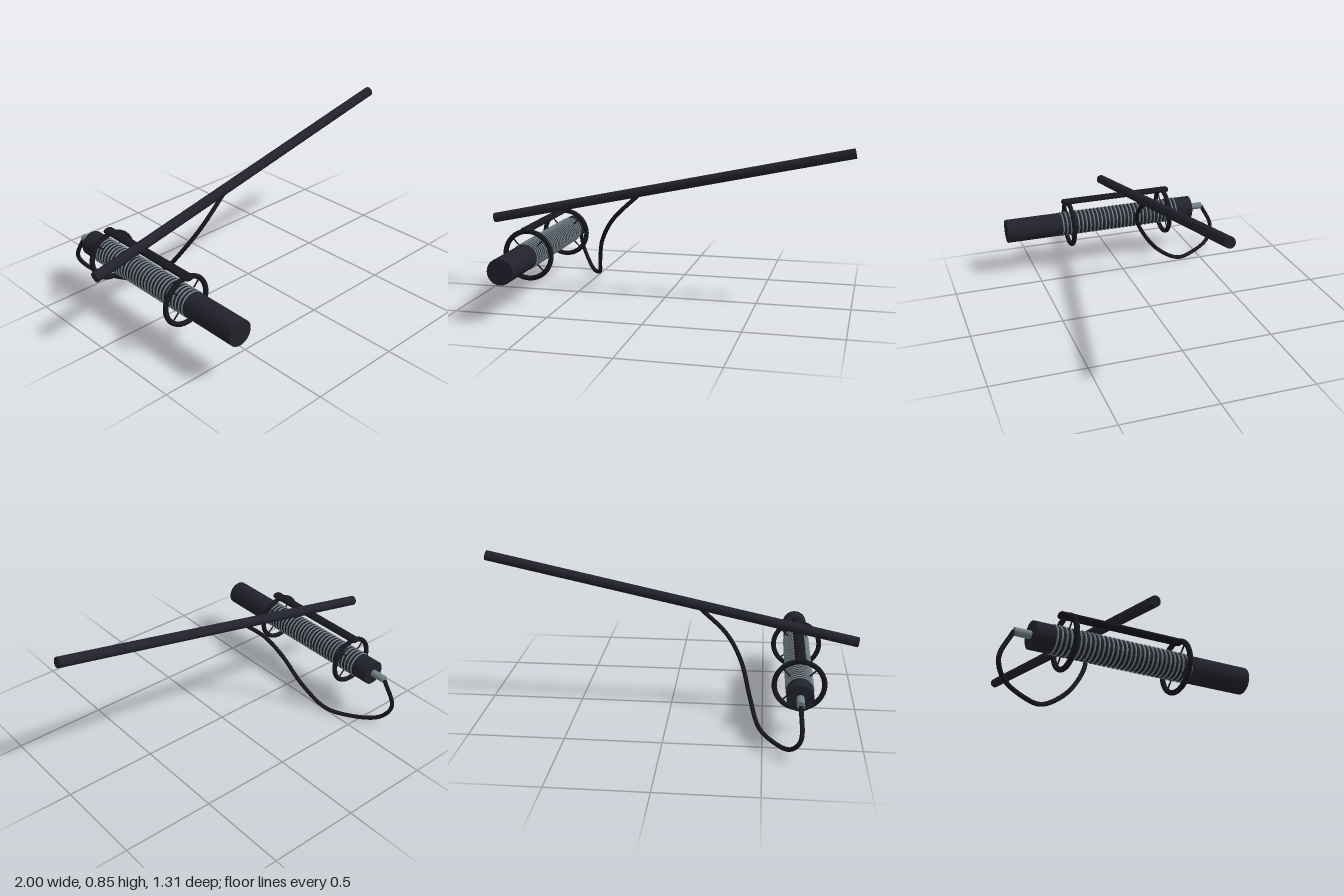
import * as THREE from 'three';

const V = (x, y, z) => new THREE.Vector3(x, y, z);

export function createModel() {
  const model = new THREE.Group();
  const mat = (name, color) => {
    const m = new THREE.MeshStandardMaterial({ color });
    m.name = name;
    return m;
  };
  const charcoal = mat('charcoal', 0x22222d);
  const black = mat('black', 0x18181f);
  const metal = mat('greyMetal', 0x76858a);

  const add = (name, geometry, material, parent = model) => {
    const mesh = new THREE.Mesh(geometry, material);
    mesh.name = name;
    parent.add(mesh);
    return mesh;
  };
  // Solid round bar between two points
  const rod = (name, a, b, r, material, parent, sides = 24) => {
    const dir = b.clone().sub(a);
    const mesh = add(name, new THREE.CylinderGeometry(r, r, dir.length(), sides), material, parent);
    mesh.position.copy(a).lerp(b, 0.5);
    mesh.quaternion.setFromUnitVectors(V(0, 1, 0), dir.normalize());
    return mesh;
  };

  // Long boom pole
  rod('boomPole', V(-0.994, 0.398, -0.017), V(0.994, 0.822, -0.017), 0.027, charcoal, model);

  // Microphone, lying along z
  const mic = new THREE.Group();
  mic.name = 'microphone';
  mic.position.set(-0.68, 0.268, 0);
  model.add(mic);
  rod('micBody', V(0, 0, -0.49), V(0, 0, 0.657), 0.068, charcoal, mic, 32);
  rod('connector', V(0, 0, -0.572), V(0, 0, -0.48), 0.02, metal, mic);

  // Interference tube ribs
  const ribGeometry = new THREE.TorusGeometry(0.068, 0.0045, 8, 32);
  const ribCount = 31;
  for (let i = 0; i < ribCount; i++) {
    const rib = add('rib', ribGeometry, metal, mic);
    rib.position.z = 0.326 - (i * 0.71) / (ribCount - 1);
  }

  // Suspension hoops with elastic cords
  for (const z of [0.277, -0.318]) {
    const hoop = new THREE.Group();
    hoop.name = 'shockMount';
    hoop.position.z = z;
    mic.add(hoop);
    add('hoopRing', new THREE.TorusGeometry(0.127, 0.0135, 12, 40), black, hoop);
    for (let i = 0; i < 4; i++) {
      const a = Math.PI / 4 + (i * Math.PI) / 2;
      const d = V(Math.cos(a), Math.sin(a), 0);
      rod('elasticCord', d.clone().multiplyScalar(0.06), d.clone().multiplyScalar(0.127), 0.004, black, hoop, 8);
    }
  }

  // Flattened bar joining the hoops
  const bar = add('mountBar', new THREE.CapsuleGeometry(0.0155, 0.64, 8, 20), black);
  bar.geometry.rotateX(Math.PI / 2);
  bar.scale.x = 1.8;
  bar.position.set(-0.68, 0.407, -0.016);

  // Cable looping from connector up to the pole
  const path = new THREE.CatmullRomCurve3([
    V(-0.68, 0.268, -0.572), V(-0.685, 0.12, -0.642), V(-0.64, 0.047, -0.6),
    V(-0.55, 0.013, -0.45), V(-0.48, 0.035, -0.335), V(-0.43, 0.14, -0.19),
    V(-0.38, 0.29, -0.08), V(-0.3, 0.42, -0.023), V(-0.15, 0.565, -0.017),
  ]);
  add('cable', new THREE.TubeGeometry(path, 64, 0.0115, 10), black);

  return model;
}
